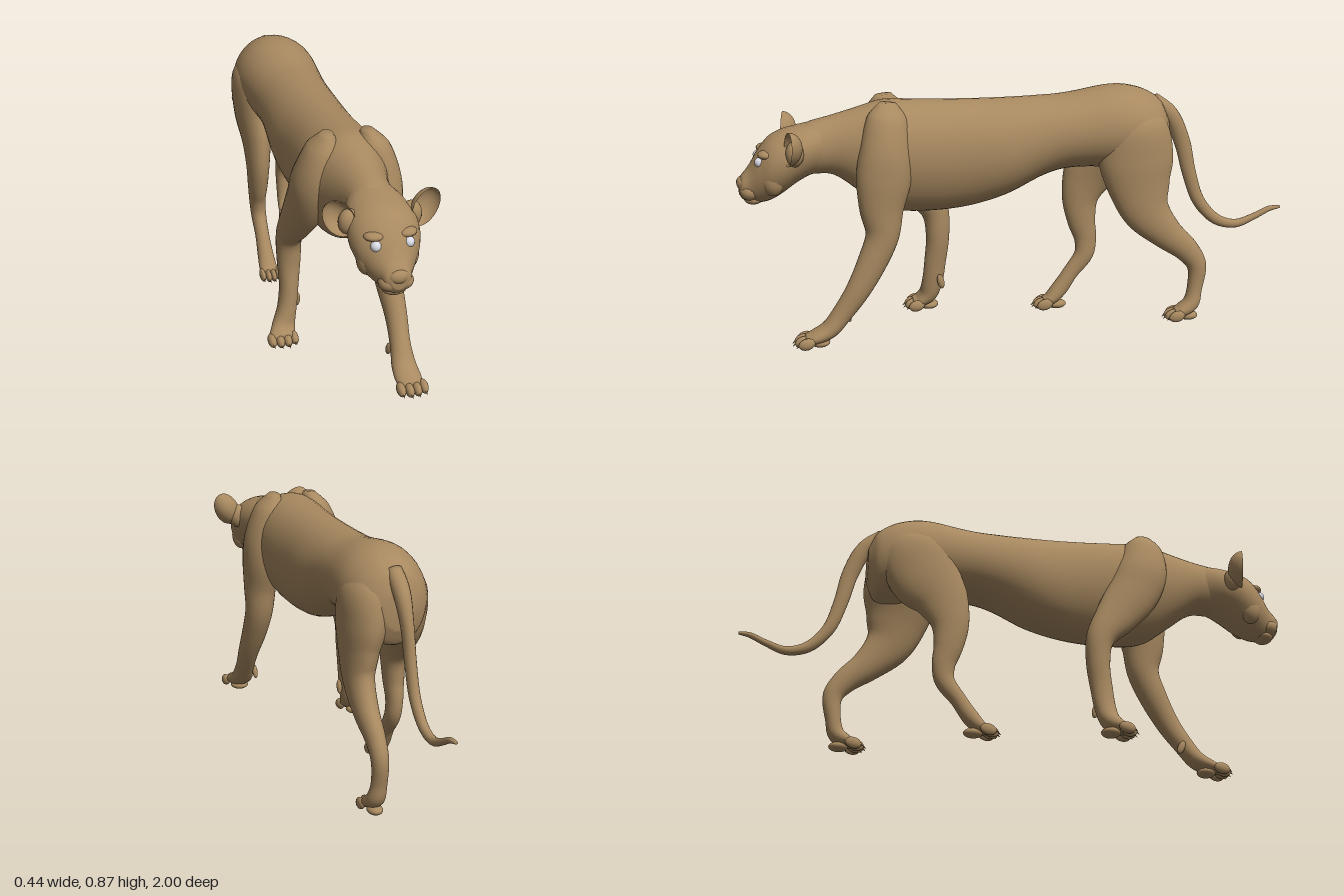
import * as THREE from 'three';

const fur = new THREE.MeshStandardMaterial({ color: 0xa88960, side: THREE.DoubleSide });
fur.name = 'tawnyFur';
const eyeWhite = new THREE.MeshStandardMaterial({ color: 0xd8dbe4 });
eyeWhite.name = 'paleEye';
const MID = 0.02; // x of the body's centre line

// Smooth skin over oval sections [x, y, z, halfWidth, halfDepth, egg].
// Sections follow the path in the yz plane, or stay upright facing +z.
function loft(name, stations, { upright = false, steps = 5, sides = 28 } = {}) {
  const path = new THREE.CatmullRomCurve3(stations.map(s => new THREE.Vector3(s[0], s[1], s[2])));
  const size = new THREE.CatmullRomCurve3(stations.map(s => new THREE.Vector3(s[3], s[4], s[5] || 0)),
    false, 'catmullrom', 0.5);
  const rings = (stations.length - 1) * steps;
  const pos = [], index = [];
  for (let i = 0; i <= rings; i++) {
    const c = path.getPoint(i / rings), r = size.getPoint(i / rings);
    const t = upright ? new THREE.Vector3(0, 0, 1) : path.getTangent(i / rings).setX(0).normalize();
    for (let j = 0; j < sides; j++) {
      const a = j / sides * Math.PI * 2, s = Math.sin(a);
      pos.push(c.x + Math.cos(a) * r.x * (1 + r.z * s), c.y + t.z * r.y * s, c.z - t.y * r.y * s);
    }
  }
  for (let i = 0; i < rings; i++) for (let j = 0; j < sides; j++) {
    const k = (j + 1) % sides, a = i * sides, b = a + sides;
    index.push(a + j, a + k, b + j, a + k, b + k, b + j);
  }
  // Closed ends
  for (const [ring, end] of [[0, 0], [rings, 1]]) {
    const c = path.getPoint(end), p = pos.length / 3, o = ring * sides;
    pos.push(c.x, c.y, c.z);
    for (let j = 0; j < sides; j++) {
      const k = (j + 1) % sides;
      end ? index.push(p, o + j, o + k) : index.push(p, o + k, o + j);
    }
  }
  const g = new THREE.BufferGeometry();
  g.setAttribute('position', new THREE.Float32BufferAttribute(pos, 3));
  g.setIndex(index);
  g.computeVertexNormals();
  const m = new THREE.Mesh(g, fur);
  m.name = name;
  return m;
}

function blob(name, p, r, mat = fur, tilt = 0) {
  const m = new THREE.Mesh(new THREE.SphereGeometry(1, 18, 12), mat);
  m.name = name;
  m.position.set(...p);
  m.scale.set(...r);
  m.rotation.x = tilt;
  return m;
}

// Four toes with claws, and a heel pad
function paw(name, x, z, half) {
  const g = new THREE.Group();
  g.name = name;
  for (let i = 0; i < 4; i++) {
    const u = (i - 1.5) / 1.5, middle = 1 - Math.abs(u);
    const tx = x + u * half * 0.76, tz = z + middle * 0.016;
    g.add(blob('toe', [tx, 0.026, tz], [half * 0.29, 0.021, 0.03], fur, 0.25));
    const claw = new THREE.Mesh(new THREE.ConeGeometry(0.006, 0.022, 8), fur);
    claw.name = 'claw';
    claw.position.set(tx, 0.02, tz + 0.03);
    claw.rotation.x = 2.3;
    g.add(claw);
  }
  g.add(blob('heelPad', [x, 0.018, z - 0.05], [half * 0.65, 0.017, 0.035]));
  return g;
}

function buildHead() {
  const head = new THREE.Group();
  head.name = 'head';
  // Skull tapering into the muzzle: z, top, bottom, half width
  const profile = [
    [0.69, 0.79, 0.61, 0.08], [0.74, 0.785, 0.60, 0.1], [0.79, 0.775, 0.575, 0.113],
    [0.84, 0.762, 0.54, 0.118], [0.885, 0.738, 0.515, 0.106], [0.925, 0.69, 0.507, 0.078],
    [0.955, 0.64, 0.51, 0.055], [0.98, 0.61, 0.522, 0.043], [0.992, 0.59, 0.54, 0.025],
  ];
  head.add(loft('skull', profile.map(([z, t, b, w]) => [MID, (t + b) / 2, z, w, (t - b) / 2, 0.1]),
    { upright: true }));
  head.add(blob('nose', [MID, 0.58, 0.978], [0.034, 0.025, 0.022]));
  head.add(blob('noseBridge', [MID, 0.625, 0.94], [0.03, 0.06, 0.022], fur, -0.55));
  head.add(blob('chin', [MID, 0.521, 0.942], [0.042, 0.02, 0.034]));
  for (const s of [-1, 1]) {
    head.add(blob('whiskerPad', [MID + s * 0.025, 0.552, 0.955], [0.034, 0.03, 0.034]));
    head.add(blob('brow', [MID + s * 0.053, 0.69, 0.895], [0.036, 0.016, 0.03]));
    head.add(blob('cheek', [MID + s * 0.068, 0.6, 0.875], [0.036, 0.055, 0.04]));
    head.add(blob('eye', [MID + s * 0.055, 0.664, 0.918], [0.0185, 0.0185, 0.0185], eyeWhite));
    // Cupped ear opening forward
    const cup = new THREE.SphereGeometry(1, 28, 12, 0, Math.PI * 2, 0, Math.PI / 2);
    cup.rotateX(-Math.PI / 2);
    cup.scale(0.048, 0.068, 0.05);
    const ear = new THREE.Mesh(cup, fur);
    ear.name = 'ear';
    ear.position.set(MID + s * 0.146, 0.727, 0.825);
    ear.rotation.set(0, s * 0.2, -s * 0.55);
    head.add(ear);
    head.add(blob('earRoot', [MID + s * 0.105, 0.7, 0.8], [0.036, 0.045, 0.032]));
  }
  return head;
}

export function createModel() {
  const model = new THREE.Group();
  model.name = 'walkingBigCat';

  // Trunk and neck: z, top, bottom, half width, egg
  const trunk = [
    [-0.555, 0.75, 0.62, 0.05, 0], [-0.525, 0.815, 0.56, 0.105, 0], [-0.46, 0.856, 0.55, 0.14, 0],
    [-0.36, 0.875, 0.57, 0.15, 0], [-0.2, 0.853, 0.58, 0.138, 0], [-0.1, 0.846, 0.56, 0.135, 0],
    [0.05, 0.843, 0.49, 0.144, 0], [0.2, 0.845, 0.452, 0.14, 0.06], [0.38, 0.852, 0.446, 0.145, 0.1],
    [0.48, 0.855, 0.465, 0.14, 0.1], [0.57, 0.832, 0.53, 0.112, 0.05], [0.66, 0.808, 0.595, 0.088, 0],
    [0.74, 0.788, 0.603, 0.086, 0], [0.8, 0.76, 0.62, 0.07, 0],
  ];
  model.add(loft('trunk', trunk.map(([z, t, b, w, e]) => [MID, (t + b) / 2, z, w, (t - b) / 2, e]),
    { upright: true, sides: 40 }));
  model.add(buildHead());

  // Front legs, from shoulder blade to paw
  model.add(loft('frontLegLeft', [
    [0.09, 0.86, 0.47, 0.02, 0.03], [0.105, 0.81, 0.475, 0.056, 0.07], [0.125, 0.7, 0.485, 0.074, 0.09],
    [0.135, 0.6, 0.495, 0.07, 0.097], [0.14, 0.5, 0.505, 0.06, 0.08], [0.145, 0.4, 0.505, 0.052, 0.06],
    [0.152, 0.3, 0.545, 0.046, 0.052], [0.16, 0.2, 0.6, 0.038, 0.043], [0.157, 0.12, 0.655, 0.036, 0.036],
    [0.155, 0.065, 0.7, 0.043, 0.032], [0.155, 0.04, 0.75, 0.046, 0.025], [0.155, 0.032, 0.785, 0.036, 0.016],
  ]));
  model.add(paw('frontPawLeft', 0.155, 0.785, 0.053));
  model.add(blob('dewclawLeft', [0.122, 0.1, 0.635], [0.01, 0.028, 0.013], fur, 0.4));
  model.add(loft('frontLegRight', [
    [-0.05, 0.86, 0.47, 0.02, 0.03], [-0.065, 0.81, 0.465, 0.056, 0.07], [-0.087, 0.7, 0.45, 0.076, 0.095],
    [-0.1, 0.6, 0.41, 0.068, 0.095], [-0.115, 0.5, 0.345, 0.054, 0.078], [-0.126, 0.4, 0.28, 0.046, 0.052],
    [-0.125, 0.3, 0.27, 0.042, 0.043], [-0.128, 0.2, 0.28, 0.034, 0.04], [-0.138, 0.12, 0.29, 0.035, 0.038],
    [-0.155, 0.065, 0.305, 0.042, 0.034], [-0.168, 0.038, 0.335, 0.046, 0.024], [-0.17, 0.032, 0.36, 0.036, 0.016],
  ]));
  model.add(paw('frontPawRight', -0.17, 0.35, 0.053));
  model.add(blob('dewclawRight', [-0.092, 0.13, 0.265], [0.01, 0.028, 0.013], fur, 0.2));

  // Hind legs, from haunch over hock to paw
  model.add(loft('hindLegLeft', [
    [0.08, 0.82, -0.41, 0.03, 0.045], [0.09, 0.74, -0.415, 0.08, 0.12], [0.1, 0.62, -0.42, 0.08, 0.138],
    [0.115, 0.52, -0.43, 0.062, 0.115], [0.125, 0.43, -0.455, 0.05, 0.088], [0.13, 0.34, -0.53, 0.042, 0.06],
    [0.13, 0.27, -0.61, 0.034, 0.045], [0.13, 0.21, -0.65, 0.03, 0.036], [0.13, 0.12, -0.645, 0.028, 0.028],
    [0.135, 0.065, -0.63, 0.033, 0.03], [0.135, 0.04, -0.595, 0.037, 0.024], [0.135, 0.032, -0.57, 0.03, 0.016],
  ]));
  model.add(paw('hindPawLeft', 0.135, -0.572, 0.042));
  model.add(loft('hindLegRight', [
    [-0.04, 0.82, -0.4, 0.03, 0.045], [-0.055, 0.74, -0.395, 0.08, 0.12], [-0.068, 0.62, -0.355, 0.074, 0.135],
    [-0.08, 0.52, -0.29, 0.052, 0.1], [-0.085, 0.43, -0.26, 0.042, 0.07], [-0.085, 0.34, -0.265, 0.036, 0.053],
    [-0.083, 0.27, -0.28, 0.03, 0.042], [-0.08, 0.21, -0.275, 0.028, 0.036], [-0.08, 0.14, -0.225, 0.026, 0.029],
    [-0.08, 0.075, -0.18, 0.03, 0.03], [-0.08, 0.04, -0.145, 0.033, 0.024], [-0.08, 0.032, -0.12, 0.028, 0.016],
  ]));
  model.add(paw('hindPawRight', -0.08, -0.122, 0.038));

  // Tail hanging down and curling up at the tip
  model.add(loft('tail', [
    [MID, 0.81, -0.5, 0.03, 0.03], [MID, 0.755, -0.565, 0.03, 0.032], [MID, 0.65, -0.615, 0.022, 0.03],
    [MID, 0.53, -0.645, 0.02, 0.026], [MID, 0.42, -0.685, 0.019, 0.023], [MID, 0.345, -0.755, 0.017, 0.02],
    [MID, 0.325, -0.83, 0.015, 0.016], [MID, 0.348, -0.9, 0.012, 0.012], [MID, 0.375, -0.96, 0.01, 0.01],
    [MID, 0.38, -1, 0.006, 0.005],
  ], { sides: 16 }));
  return model;
}
